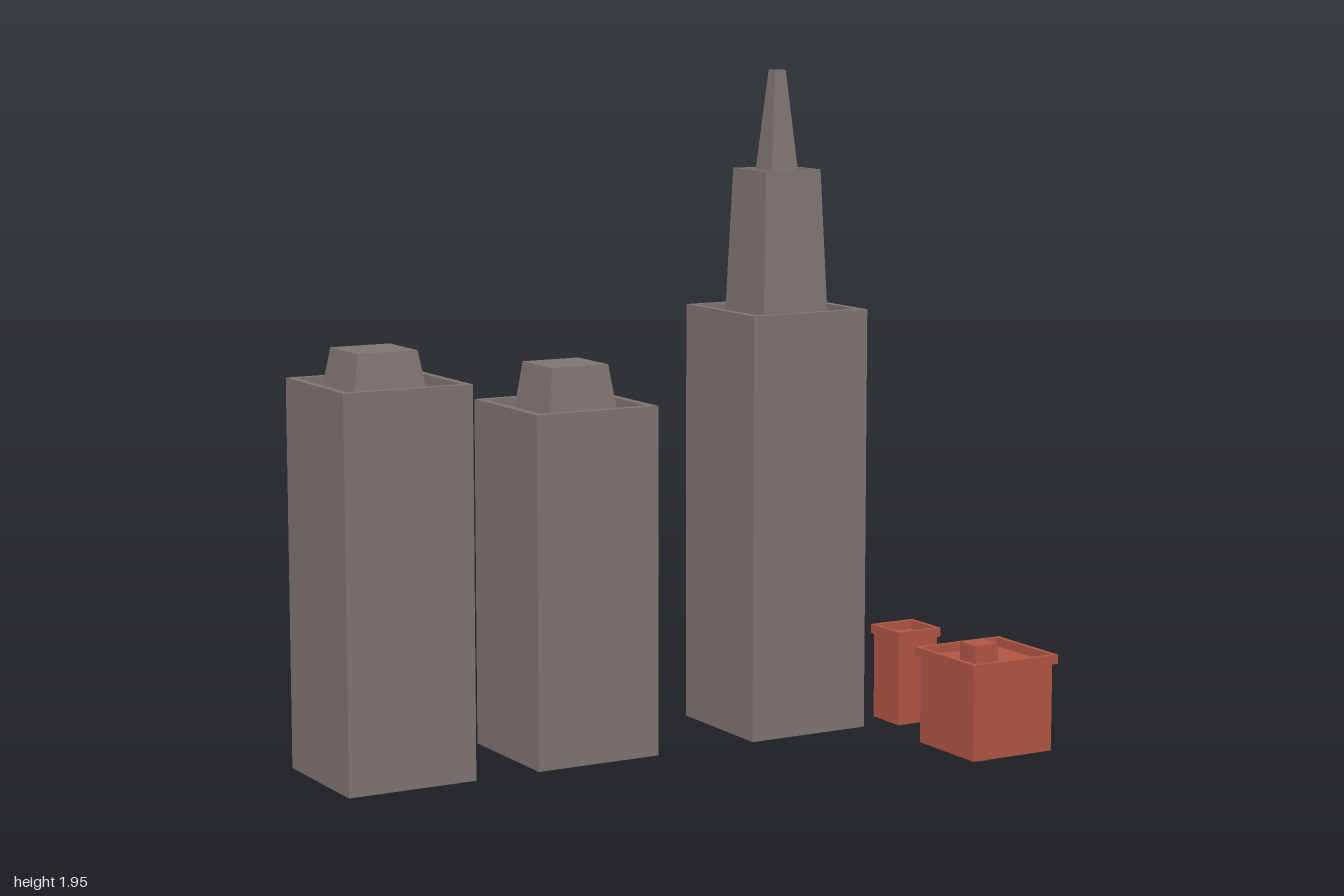
import * as THREE from 'three';

const stone = new THREE.MeshStandardMaterial({ color: 0x7f7573, flatShading: true });
const brick = new THREE.MeshStandardMaterial({ color: 0xb25645, flatShading: true });

// Square solid: a four-sided lathe through [half-width, height] points, bottom to top.
function square(name, profile, material, x, z) {
  const points = profile.map(([h, y]) => new THREE.Vector2(h * Math.SQRT2, y));
  const geometry = new THREE.LatheGeometry(points, 4).rotateY(Math.PI / 4).toNonIndexed();
  geometry.computeVertexNormals();
  const mesh = new THREE.Mesh(geometry, material);
  mesh.name = name;
  mesh.position.set(x, 0, z);
  return mesh;
}

// Tapering block with an optional sunken roof behind a parapet.
function block(y0, y1, bottom, top, rim = 0, depth = 0) {
  const profile = [[0, y0], [bottom, y0], [top, y1]];
  if (rim) profile.push([top - rim, y1], [top - rim, y1 - depth], [0, y1 - depth]);
  else profile.push([0, y1]);
  return profile;
}

// Entrance block standing proud of a wall, narrowing towards its top.
function entrance(x, z, width, height, depth, taper, material) {
  const w = width / 2;
  const shape = new THREE.Shape([
    new THREE.Vector2(-w, 0), new THREE.Vector2(w, 0),
    new THREE.Vector2(w - taper, height), new THREE.Vector2(-w + taper, height),
  ]);
  const mesh = new THREE.Mesh(
    new THREE.ExtrudeGeometry(shape, { depth, bevelEnabled: false }), material);
  mesh.name = 'entrance';
  mesh.position.set(x, 0, z);
  return mesh;
}

const TOWER_HALF = 0.194, TOWER_Z = -0.247, TOWER_BACK = TOWER_Z - TOWER_HALF;

// Tower with a sunken roof; stages are profiles stacked on it.
function tower(name, x, height, stages, door) {
  const group = new THREE.Group();
  group.name = name;
  group.add(square('shaft', block(0, height, TOWER_HALF, TOWER_HALF, 0.024, 0.03), stone, x, TOWER_Z));
  for (const s of stages) group.add(square(s.name, s.profile, stone, s.x, s.z));
  group.add(entrance(door.x, TOWER_BACK - door.depth, door.width, door.height, door.depth + 0.01, door.taper, stone));
  return group;
}

// Small house: body, overhanging cornice and sunken flat roof.
function house(name, x, z, half, overhang) {
  const group = new THREE.Group();
  group.name = name;
  const o = half + overhang;
  group.add(square('walls', [
    [0, 0], [half, 0], [half, 0.257], [o, 0.257], [o, 0.284],
    [o - 0.014, 0.284], [o - 0.014, 0.258], [0, 0.258],
  ], brick, x, z));
  return group;
}

export function createModel() {
  const model = new THREE.Group();
  model.name = 'cityBlock';

  // Grey towers
  model.add(tower('leftTower', -0.806, 1.115, [
    { name: 'roofCap', profile: block(1.085, 1.208, 0.11, 0.09), x: -0.828, z: -0.228 },
  ], { x: -0.81, width: 0.172, height: 0.125, depth: 0.035, taper: 0.008 }));

  model.add(tower('middleTower', -0.222, 1.015, [
    { name: 'roofCap', profile: block(0.985, 1.129, 0.11, 0.09), x: -0.222, z: -0.248 },
  ], { x: -0.222, width: 0.214, height: 0.138, depth: 0.035, taper: 0.017 }));

  model.add(tower('tallTower', 0.482, 1.252, [
    { name: 'upperStage', profile: block(1.222, 1.659, 0.11, 0.093, 0.016, 0.025), x: 0.482, z: -0.247 },
    { name: 'spire', profile: block(1.634, 1.947, 0.047, 0.018), x: 0.482, z: -0.247 },
  ], { x: 0.482, width: 0.118, height: 0.108, depth: 0.03, taper: 0 }));

  // Red houses, with thin door panels
  const large = house('largeHouse', 0.849, 0.326, 0.136, 0.012);
  const chimney = new THREE.Mesh(new THREE.BoxGeometry(0.078, 0.072, 0.078), brick);
  chimney.name = 'chimney';
  chimney.position.set(0.772, 0.294, 0.398);
  large.add(chimney);
  large.add(entrance(0.89, 0.187, 0.08, 0.05, 0.01, 0, brick));
  large.add(entrance(0.745, 0.455, 0.03, 0.035, 0.01, 0, brick));
  model.add(large);

  const small = house('smallHouse', 0.843, -0.083, 0.068, 0.007);
  small.add(entrance(0.83, -0.154, 0.04, 0.05, 0.01, 0, brick));
  model.add(small);

  return model;
}
